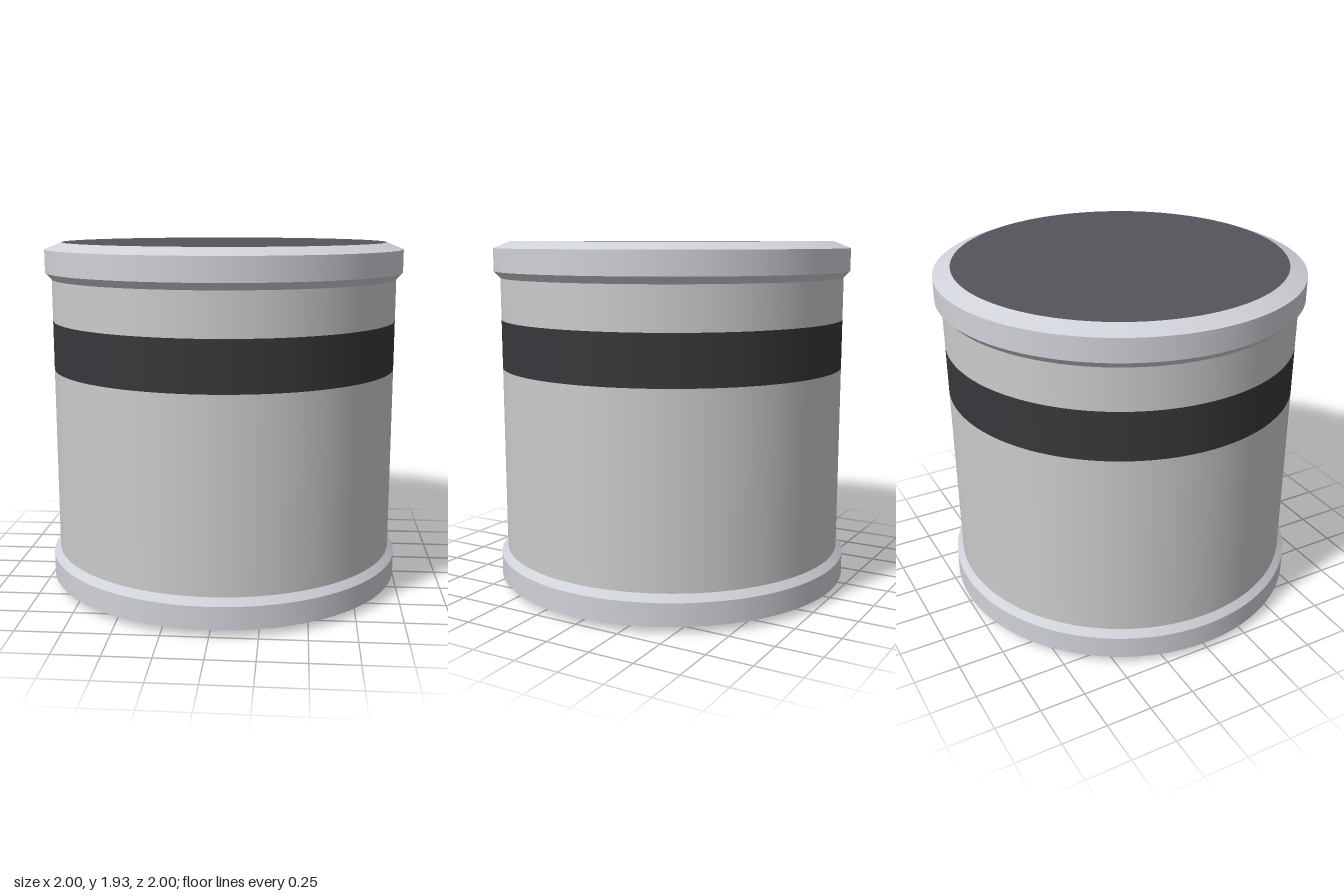
import * as THREE from 'three';

const SEGMENTS = 96;
const HEIGHT = 1.935;

const material = (color) => new THREE.MeshStandardMaterial({ color });

export function createModel() {
  const model = new THREE.Group();
  model.name = 'canister';
  const bodyMat = material(0xcccccc);
  const rimMat = material(0xd0d2d9);
  const bandMat = material(0x38383c);
  const capMat = material(0x55545b);

  // Open ring of wall between two heights, with crisp edges to its neighbours
  const wall = (parent, name, mat, r0, y0, r1, y1) => {
    const geometry = new THREE.CylinderGeometry(r1, r0, y1 - y0, SEGMENTS, 1, true);
    const mesh = new THREE.Mesh(geometry, mat);
    mesh.position.y = (y0 + y1) / 2;
    mesh.name = name;
    parent.add(mesh);
  };

  // Straight body with a dark band set flush into it
  const R = 0.965;
  wall(model, 'lowerBody', bodyMat, R, 0.2, R, 1.235);
  wall(model, 'band', bandMat, R, 1.235, R, 1.505);
  wall(model, 'upperBody', bodyMat, R, 1.505, R, HEIGHT - 0.2);

  // Bevelled rim and flat end plate, made once for each end
  const makeEnd = (name) => {
    const end = new THREE.Group();
    end.name = name;
    const profile = [[R, -0.2], [1, -0.163], [1, -0.038], [0.905, 0]];
    const names = ['rimInnerBevel', 'rimWall', 'rimOuterBevel'];
    names.forEach((part, i) => wall(end, part, rimMat, ...profile[i], ...profile[i + 1]));
    const plate = new THREE.Mesh(new THREE.CircleGeometry(0.905, SEGMENTS), capMat);
    plate.name = 'endPlate';
    plate.rotation.x = -Math.PI / 2;
    end.add(plate);
    model.add(end);
    return end;
  };
  makeEnd('topEnd').position.y = HEIGHT;
  makeEnd('bottomEnd').rotation.x = Math.PI;

  return model;
}
